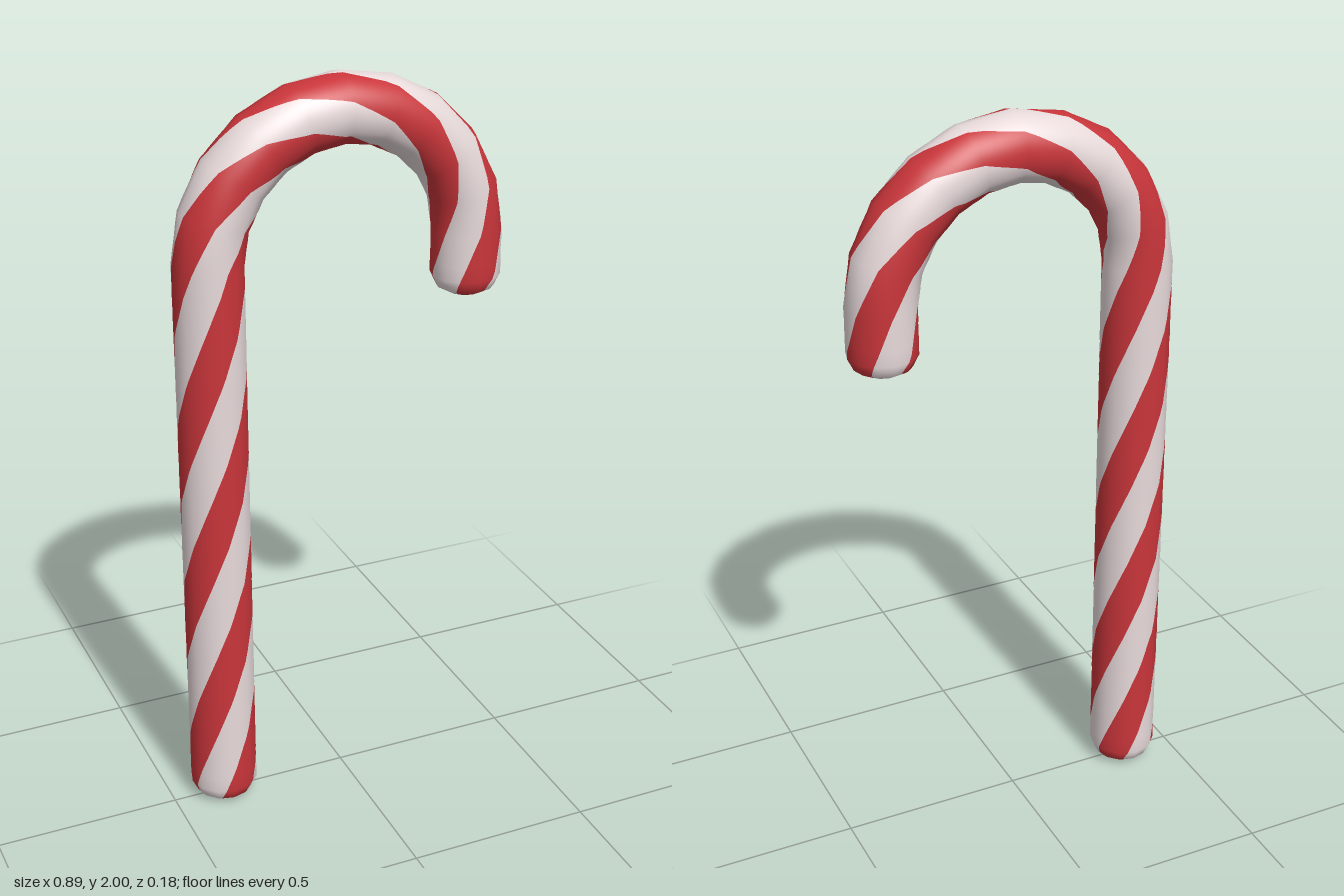
import * as THREE from 'three';

const HOOK = 0.355, R = 0.092, BEND_Y = 1.553, END_Y = 1.38;
const SIDES = 12, STRIPES = 3;
const rad = THREE.MathUtils.degToRad;

// Rings along the cane: s = length, r = radius, c = centre, o = outward, t = tangent, nt = normal tilt along t
function makeRings() {
  const rings = [];
  const arc = Math.PI * HOOK;
  const cap = [[0, 0, 1], [0.002, 0.048, 0.9], [0.018, 0.077, 0.6], [0.05, R, 0.1]];
  const stem = (y, r, nt) => rings.push({
    s: y, r, nt, c: new THREE.Vector3(-HOOK, y, 0),
    o: new THREE.Vector3(-1, 0, 0), t: new THREE.Vector3(0, 1, 0),
  });
  const tip = (y, r, nt) => rings.push({
    s: BEND_Y + arc + BEND_Y - y, r, nt, c: new THREE.Vector3(HOOK, y, 0),
    o: new THREE.Vector3(1, 0, 0), t: new THREE.Vector3(0, -1, 0),
  });
  // bottom cap and stem
  for (const [h, r, n] of cap) stem(h, r, -n);
  stem(0.09, R, 0);
  // hook in ten straight segments
  for (let i = 0; i <= 10; i++) {
    const a = Math.PI * i / 10;
    const o = new THREE.Vector3(-Math.cos(a), Math.sin(a), 0);
    rings.push({
      s: BEND_Y + arc * i / 10, r: R, nt: 0, o,
      c: o.clone().multiplyScalar(HOOK).add(new THREE.Vector3(0, BEND_Y, 0)),
      t: new THREE.Vector3(Math.sin(a), Math.cos(a), 0),
    });
  }
  // tip and end cap
  tip(END_Y + 0.09, R, 0);
  for (const [h, r, n] of cap.slice().reverse()) tip(END_Y + h, r, n);
  return rings;
}

// Point and normal on one ring at angle phi (0 = outer side, 90 degrees = front)
function onRing(ring, phi) {
  const step = 2 * Math.PI / SIDES;
  const f = phi - step * Math.floor(phi / step) - step / 2;
  const r = ring.r * Math.cos(step / 2) / Math.cos(f);
  const dir = ring.o.clone().multiplyScalar(Math.cos(phi));
  dir.z += Math.sin(phi);
  return {
    p: dir.clone().multiplyScalar(r).add(ring.c),
    n: dir.multiplyScalar(Math.sqrt(1 - ring.nt * ring.nt)).addScaledVector(ring.t, ring.nt),
  };
}

// One helical stripe covering 60 degrees of the cane
function stripeGeometry(rings, startDeg) {
  const COLS = 12, width = 360 / (STRIPES * 2);
  const pos = [], nor = [], idx = [];
  let rows = 0;
  const addRow = (a, b, k) => {
    const s = a.s + (b.s - a.s) * k;
    for (let j = 0; j <= COLS; j++) {
      const phi = rad(startDeg + 259 * s + width * (j / COLS - 0.5));
      const A = onRing(a, phi), B = onRing(b, phi);
      pos.push(...A.p.lerp(B.p, k).toArray());
      nor.push(...A.n.lerp(B.n, k).normalize().toArray());
    }
    rows++;
  };
  for (let i = 0; i < rings.length - 1; i++) {
    const n = Math.max(1, Math.ceil((rings[i + 1].s - rings[i].s) / 0.03));
    for (let k = 0; k < n; k++) addRow(rings[i], rings[i + 1], k / n);
  }
  addRow(rings[rings.length - 2], rings[rings.length - 1], 1);
  const w = COLS + 1;
  for (let i = 0; i < rows - 1; i++) {
    for (let j = 0; j < COLS; j++) {
      const a = i * w + j;
      idx.push(a, a + 1, a + w, a + 1, a + w + 1, a + w);
    }
  }
  const g = new THREE.BufferGeometry();
  g.setAttribute('position', new THREE.Float32BufferAttribute(pos, 3));
  g.setAttribute('normal', new THREE.Float32BufferAttribute(nor, 3));
  g.setIndex(idx);
  return g;
}

export function createModel() {
  const group = new THREE.Group();
  group.name = 'stripedCane';
  const red = new THREE.MeshStandardMaterial({ color: 0xc8353a });
  red.name = 'candyRed';
  const white = new THREE.MeshStandardMaterial({ color: 0xe8dadb });
  white.name = 'sugarWhite';

  // alternate red and white helical stripes around the cane
  const rings = makeRings();
  for (let i = 0; i < STRIPES * 2; i++) {
    const isRed = i % 2 === 0;
    const mesh = new THREE.Mesh(stripeGeometry(rings, 92 + i * 60), isRed ? red : white);
    mesh.name = (isRed ? 'redStripe' : 'whiteStripe') + (Math.floor(i / 2) + 1);
    group.add(mesh);
  }
  return group;
}
